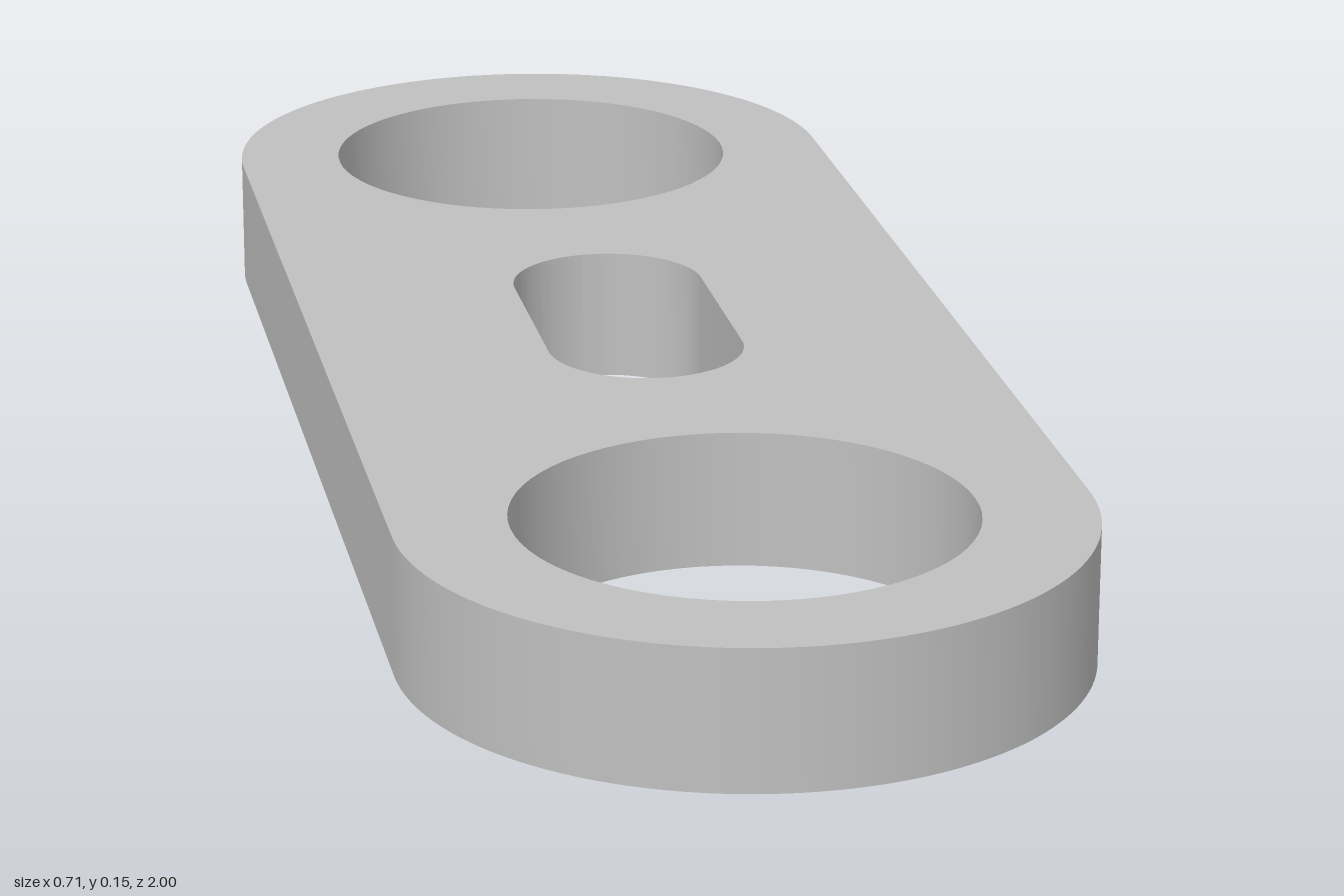
import * as THREE from 'three';
import { toCreasedNormals } from 'three/addons/utils/BufferGeometryUtils.js';

const THICKNESS = 0.149;
const END = 0.643; // distance of each large hole from the middle

// Traces a slot outline: two half circles joined by straight sides
function traceSlot(path, radius, offset) {
  path.absarc(0, offset, radius, 0, Math.PI, false);
  path.absarc(0, -offset, radius, Math.PI, Math.PI * 2, false);
  path.closePath();
  return path;
}

export function createModel() {
  const model = new THREE.Group();
  model.name = 'linkPlate';

  const greyMetal = new THREE.MeshStandardMaterial({ color: 0xc0c0c0 });
  greyMetal.name = 'grey metal';

  // Rounded outline of the plate
  const outline = traceSlot(new THREE.Shape(), 1 - END, END);

  // Central slot and a round hole at each end
  outline.holes.push(traceSlot(new THREE.Path(), 0.108, 0.114));
  for (const side of [-1, 1]) {
    outline.holes.push(new THREE.Path().absarc(0, side * END, 0.238, 0, Math.PI * 2, true));
  }

  // Extrude, then lay flat on the ground with smooth walls and sharp rims
  const solid = new THREE.ExtrudeGeometry(outline, {
    depth: THICKNESS, bevelEnabled: false, curveSegments: 36,
  });
  solid.rotateX(-Math.PI / 2);

  const plate = new THREE.Mesh(toCreasedNormals(solid, Math.PI / 6), greyMetal);
  plate.name = 'plate';
  model.add(plate);
  return model;
}
